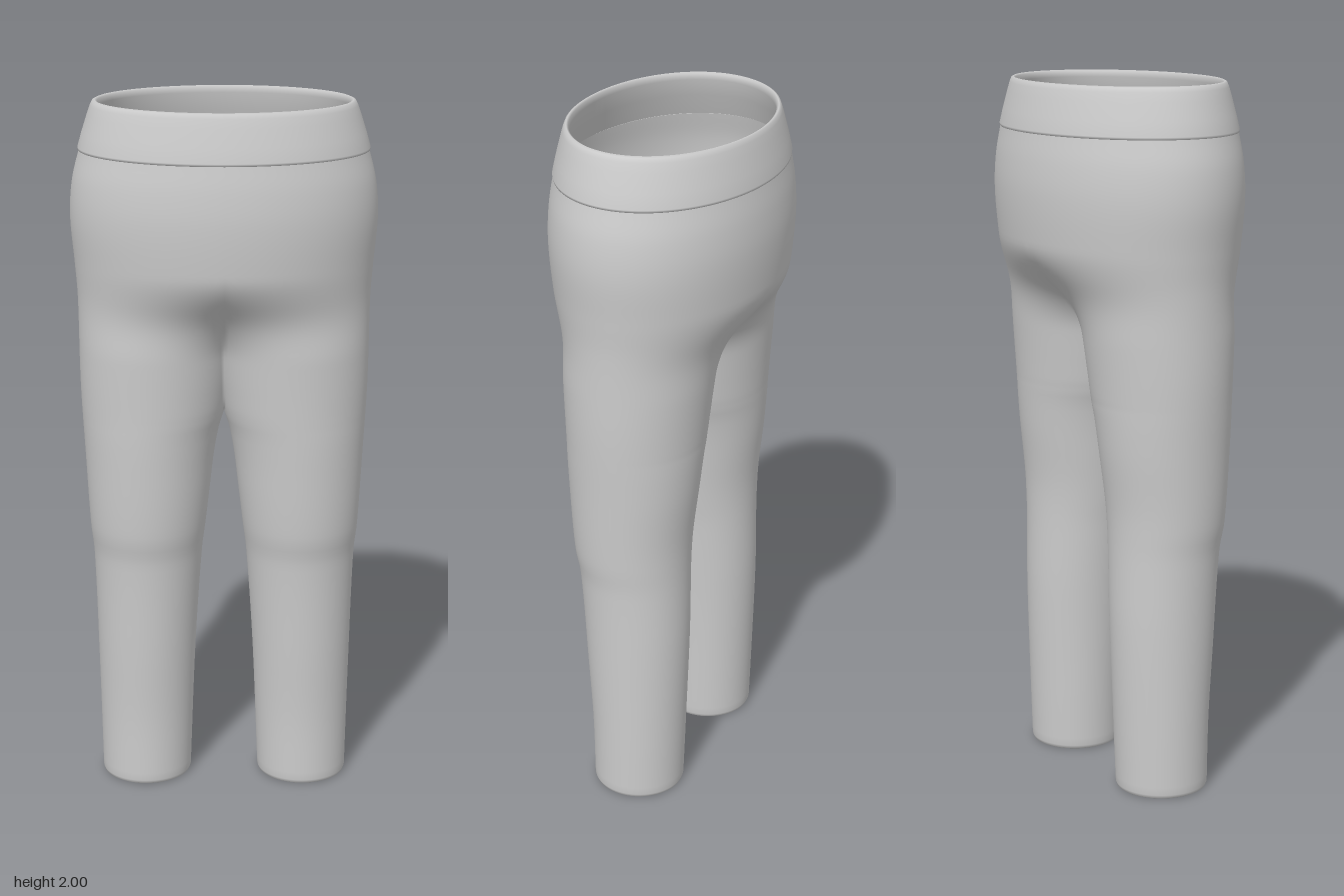
import * as THREE from 'three';

// Smooth interpolation through [y, value] keys, y ascending
function curve(keys) {
  const slope = (i) => {
    const a = keys[Math.max(i - 1, 0)], b = keys[Math.min(i + 1, keys.length - 1)];
    return (b[1] - a[1]) / (b[0] - a[0]);
  };
  return (y) => {
    let i = 0;
    while (i < keys.length - 2 && y > keys[i + 1][0]) i++;
    const [y0, v0] = keys[i], [y1, v1] = keys[i + 1];
    const h = y1 - y0, t = THREE.MathUtils.clamp((y - y0) / h, 0, 1);
    const t2 = t * t, t3 = t2 * t;
    return v0 * (2 * t3 - 3 * t2 + 1) + slope(i) * h * (t3 - 2 * t2 + t)
      + v1 * (3 * t2 - 2 * t3) + slope(i + 1) * h * (t3 - t2);
  };
}

const CROTCH = 1.12;
// Outer side and inner side of a leg (negative inner = legs merged)
const outer = curve([[0, 0.36], [0.4, 0.368], [0.7, 0.376], [0.78, 0.384], [1, 0.396], [1.2, 0.406],
  [1.45, 0.41], [1.55, 0.417], [1.68, 0.427], [1.78, 0.42], [1.87, 0.398]]);
const inner = curve([[0, 0.1], [0.4, 0.084], [0.7, 0.064], [0.78, 0.054], [0.9, 0.04], [1, 0.028],
  [1.08, 0.013], [CROTCH, 0], [1.2, -0.014], [1.3, -0.03], [1.4, -0.05], [1.87, -0.1]]);
// Front and back depth of a leg
const legFront = curve([[0, 0.13], [0.2, 0.134], [0.4, 0.147], [0.7, 0.168], [0.78, 0.183], [1, 0.199],
  [1.2, 0.21], [1.4, 0.222], [1.87, 0.25]]);
const legBack = curve([[0, 0.133], [0.2, 0.14], [0.5, 0.149], [0.8, 0.15], [1, 0.17], [1.2, 0.187],
  [1.4, 0.206], [1.87, 0.25]]);
// Depth of the hips
const hipDepth = curve([[1.25, 0.23], [1.38, 0.255], [1.48, 0.287], [1.58, 0.302], [1.7, 0.31],
  [1.79, 0.306], [1.87, 0.295]]);

const SEG = 64;

// One half of the trousers: a half ellipse at the hips that morphs into a closed leg loop
function halfGeometry(side) {
  const rows = [];
  for (let i = 0; i <= 50; i++) rows.push([1.87 - (1.87 - CROTCH) * i / 50, 0]);
  for (let i = 1; i <= 50; i++) rows.push([CROTCH - (CROTCH - 0.012) * i / 50, 0]);
  // rolled hem
  rows.push([0.003, 0.003], [0, 0.008], [0.003, 0.013], [0.012, 0.016], [0.15, 0.016]);

  const pos = [], idx = [];
  rows.forEach(([y, inset]) => {
    const out = outer(y), inn = inner(y);
    const cx = (out + inn) / 2, rx = (out - inn) / 2;
    const f = legFront(y), b = legBack(y);
    const cz = (f - b) / 2, rz = (f + b) / 2;
    const arc = y > CROTCH + 1e-6 ? Math.acos(Math.max(-1, -cx / rx)) : Math.PI;
    const w = 1 - THREE.MathUtils.smoothstep(y, 1.3, 1.56);
    for (let j = 0; j <= SEG; j++) {
      const u = j / SEG * 2 - 1, a = u * arc, p = u * Math.PI / 2;
      const x = THREE.MathUtils.lerp(out * Math.cos(p), cx + (rx - inset) * Math.cos(a), w);
      const z = THREE.MathUtils.lerp(hipDepth(y) * Math.sin(p), cz + (rz - inset) * Math.sin(a), w);
      pos.push(side * x, y, z);
    }
  });
  const n = SEG + 1;
  for (let i = 0; i < rows.length - 1; i++) {
    for (let j = 0; j < SEG; j++) {
      const a = i * n + j, b = a + 1, c = a + n, d = c + 1;
      if (side > 0) idx.push(a, b, c, b, d, c);
      else idx.push(a, c, b, b, c, d);
    }
  }
  const g = new THREE.BufferGeometry();
  g.setAttribute('position', new THREE.Float32BufferAttribute(pos, 3));
  g.setIndex(idx);
  g.computeVertexNormals();

  // Smooth the seam: centre line on the hips, inseam on the legs
  const normal = g.attributes.normal, v = new THREE.Vector3(), q = new THREE.Vector3();
  rows.forEach(([y], i) => {
    const s = i * n, e = s + SEG;
    if (y > CROTCH + 1e-6) {
      for (const k of [s, e]) {
        v.fromBufferAttribute(normal, k).setX(0).normalize();
        normal.setXYZ(k, v.x, v.y, v.z);
      }
    } else {
      v.fromBufferAttribute(normal, s).add(q.fromBufferAttribute(normal, e)).normalize();
      normal.setXYZ(s, v.x, v.y, v.z);
      normal.setXYZ(e, v.x, v.y, v.z);
    }
  });
  return g;
}

export function createModel() {
  const model = new THREE.Group();
  model.name = 'trousers';
  const fabric = new THREE.MeshStandardMaterial({ color: 0xcccccc, side: THREE.DoubleSide });
  fabric.name = 'light grey fabric';

  for (const [name, side] of [['leftHalf', 1], ['rightHalf', -1]]) {
    const half = new THREE.Mesh(halfGeometry(side), fabric);
    half.name = name;
    model.add(half);
  }

  // Elliptical waistband with a lip below and a rolled top edge
  const profile = [[0.392, 1.866], [0.402, 1.864], [0.403, 1.871], [0.392, 1.91], [0.376, 1.96],
    [0.367, 1.985], [0.361, 1.997], [0.354, 2], [0.347, 1.996], [0.345, 1.98], [0.362, 1.93],
    [0.388, 1.868]].map(([x, y]) => new THREE.Vector2(x, y));
  const band = new THREE.LatheGeometry(profile, 96);
  band.scale(1, 1, 0.738);
  const waistband = new THREE.Mesh(band, fabric);
  waistband.name = 'waistband';
  model.add(waistband);

  return model;
}
